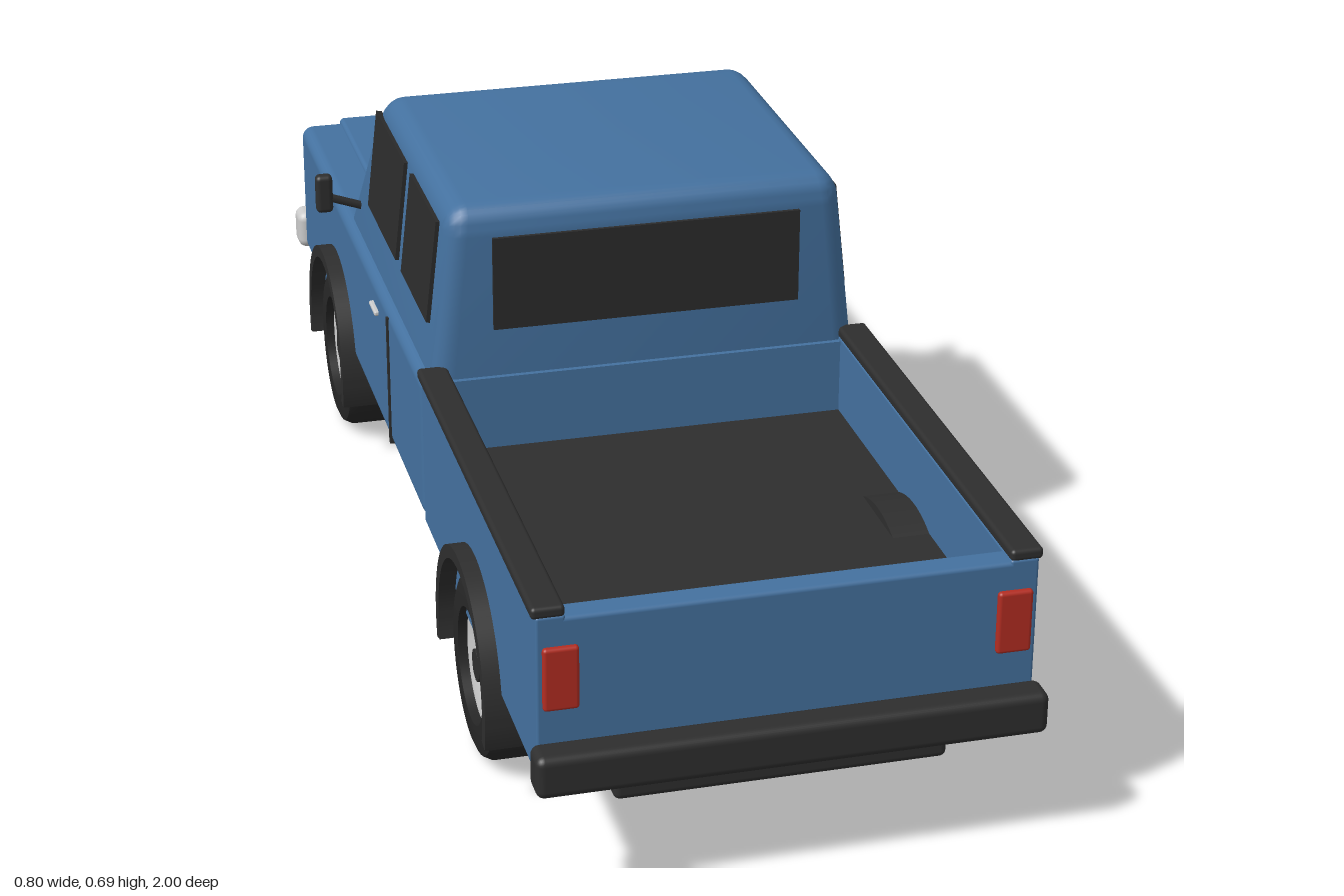
import * as THREE from 'three';
import { toCreasedNormals } from 'three/addons/utils/BufferGeometryUtils.js';
import { RoundedBoxGeometry } from 'three/addons/geometries/RoundedBoxGeometry.js';

const mat = (name, color) => {
  const m = new THREE.MeshStandardMaterial({ color });
  m.name = name;
  return m;
};

export function createModel() {
  const truck = new THREE.Group();
  truck.name = 'pickupTruck';
  const blue = mat('bluePaint', 0x44719f);
  const black = mat('blackTrim', 0x2e2e2e);
  const glass = mat('darkGlass', 0x2b2b2b);
  const rubber = mat('tyreRubber', 0x272727);
  const silver = mat('silverMetal', 0xcbcbcb);
  const red = mat('redLamp', 0xb32d22);

  const add = (name, geo, material, parent = truck) => {
    const m = new THREE.Mesh(geo, material);
    m.name = name;
    parent.add(m);
    return m;
  };
  // Box given by its extents on each axis; r rounds the edges
  const block = (name, material, [x0, x1], [y0, y1], [z0, z1], r = 0) => {
    const s = [x1 - x0, y1 - y0, z1 - z0];
    const m = add(name, r ? new RoundedBoxGeometry(...s, 3, r) : new THREE.BoxGeometry(...s), material);
    m.position.set((x0 + x1) / 2, (y0 + y1) / 2, (z0 + z1) / 2);
    return m;
  };
  // Same, on the given side of the truck
  const sideBlock = (name, material, s, [a, b], ys, zs, r) =>
    block(name, material, s > 0 ? [a, b] : [-b, -a], ys, zs, r);

  // Chassis and bumpers
  block('chassis', black, [-0.235, 0.235], [0.115, 0.2], [-0.85, 0.935], 0.01);
  block('rearBumper', black, [-0.355, 0.355], [0.172, 0.234], [0.95, 1], 0.012);
  block('frontBumper', silver, [-0.355, 0.355], [0.17, 0.238], [-1, -0.945], 0.016);

  // Lower cab and hood
  block('lowerBody', blue, [-0.345, 0.345], [0.178, 0.415], [-0.94, 0.19], 0.02);
  block('hoodPanel', blue, [-0.275, 0.275], [0.4, 0.422], [-0.94, -0.48], 0.008);

  // Upper cab: side profile across the width, narrowing toward the roof
  const profile = new THREE.Shape();
  profile.moveTo(-0.2, 0.38);
  profile.lineTo(0.52, 0.38);
  profile.lineTo(0.372, 0.63);
  profile.quadraticCurveTo(0.338, 0.685, 0.285, 0.685);
  profile.lineTo(-0.16, 0.685);
  profile.quadraticCurveTo(-0.2, 0.685, -0.2, 0.64);
  const bevel = 0.035;
  const cab = new THREE.ExtrudeGeometry(profile, {
    depth: 0.66 - 2 * bevel, bevelSize: bevel, bevelThickness: bevel,
    bevelOffset: -bevel, bevelSegments: 5, curveSegments: 8,
  });
  cab.translate(0, 0, -0.33 + bevel).rotateY(Math.PI / 2);
  const p = cab.attributes.position;
  for (let i = 0; i < p.count; i++) p.setX(i, p.getX(i) * (1 - 0.345 * (p.getY(i) - 0.42)));
  add('upperCab', toCreasedNormals(cab, 0.5), blue);

  // Front and rear glass
  const shield = add('windshield', new THREE.BoxGeometry(0.54, 0.245, 0.009), glass);
  shield.position.set(0, 0.541, -0.428);
  shield.rotation.x = 0.535;
  block('rearWindow', glass, [-0.236, 0.236], [0.492, 0.638], [0.197, 0.206]);

  // Cargo bed
  block('bedBase', blue, [-0.34, 0.34], [0.18, 0.295], [0.19, 0.95]);
  block('bedFloor', black, [-0.305, 0.305], [0.294, 0.3], [0.2, 0.915]);
  block('bedHeadboard', blue, [-0.31, 0.31], [0.2, 0.415], [0.188, 0.208]);
  block('tailgate', blue, [-0.343, 0.343], [0.18, 0.417], [0.915, 0.955], 0.006);

  // Grille with bars
  block('grille', black, [-0.187, 0.187], [0.255, 0.372], [-0.952, -0.93], 0.004);
  for (let i = 0; i < 4; i++) {
    const y = 0.277 + i * 0.024;
    block('grilleBar', silver, [-0.175, 0.175], [y - 0.003, y + 0.003], [-0.956, -0.95]);
  }

  // Wheel and arch shapes, shared by all four corners
  const R = 0.137;
  const tyre = toCreasedNormals(new THREE.LatheGeometry(
    [[0.086, -0.048], [0.118, -0.048], [0.13, -0.043], [R, -0.03], [R, 0.03],
      [0.13, 0.043], [0.118, 0.048], [0.086, 0.048], [0.086, -0.048]]
      .map(([r, y]) => new THREE.Vector2(r, y)), 40), 0.6).rotateZ(-Math.PI / 2);
  const rim = toCreasedNormals(new THREE.LatheGeometry(
    [[0.001, -0.035], [0.087, -0.035], [0.087, 0.034], [0.076, 0.034],
      [0.055, 0.026], [0.05, 0.018], [0.001, 0.018]]
      .map(([r, y]) => new THREE.Vector2(r, y)), 40), 0.4).rotateZ(-Math.PI / 2);
  const hub = new THREE.CylinderGeometry(0.024, 0.026, 0.03, 16).rotateZ(-Math.PI / 2);
  const axle = new THREE.CylinderGeometry(0.02, 0.02, 0.56, 12).rotateZ(Math.PI / 2);
  const arc = new THREE.Shape();
  const end = Math.PI + 0.26;
  arc.absarc(0, 0, 0.173, -0.26, end, false);
  arc.absarc(0, 0, 0.153, end, -0.26, true);
  const arch = toCreasedNormals(new THREE.ExtrudeGeometry(arc, {
    depth: 0.11, bevelEnabled: false, curveSegments: 32,
  }).translate(0, 0, -0.055).rotateY(Math.PI / 2), 0.5);

  for (const z of [0.568, -0.578]) {
    add('axle', axle, black).position.set(0, R, z);
    for (const s of [1, -1]) {
      const wheel = new THREE.Group();
      wheel.name = 'wheel';
      wheel.position.set(s * 0.307, R, z);
      if (s < 0) wheel.rotation.y = Math.PI;
      truck.add(wheel);
      add('tyre', tyre, rubber, wheel);
      add('rim', rim, silver, wheel);
      add('hubCap', hub, black, wheel).position.x = 0.025;
      add('wheelArch', arch, black).position.set(s * 0.31 - 0.005, 0.141, z);
    }
  }

  // Mirrored side details
  for (const s of [1, -1]) {
    sideBlock('bedSide', blue, s, [0.305, 0.345], [0.18, 0.42], [0.19, 0.955], 0.004);
    sideBlock('bedRail', black, s, [0.305, 0.351], [0.417, 0.434], [0.185, 0.955], 0.006);
    sideBlock('tailLight', red, s, [0.288, 0.337], [0.283, 0.376], [0.945, 0.963], 0.005);
    sideBlock('headlight', silver, s, [0.19, 0.3], [0.31, 0.366], [-0.953, -0.93], 0.005);
    sideBlock('doorSeam', black, s, [0.34, 0.348], [0.182, 0.4], [-0.09, -0.081]);
    sideBlock('doorHandle', silver, s, [0.34, 0.352], [0.366, 0.374], [-0.22, -0.17], 0.003);
    for (const [z0, z1] of [[-0.054, 0.15], [-0.34, -0.1]]) {
      const w = add('sideWindow', new THREE.BoxGeometry(0.009, 0.162, z1 - z0), glass);
      w.position.set(s * 0.3145, 0.57, (z0 + z1) / 2);
      w.rotation.z = s * 0.1136;
    }
    sideBlock('mirror', black, s, [0.372, 0.4], [0.45, 0.515], [-0.438, -0.416], 0.008);
    const arm = new THREE.LineCurve3(
      new THREE.Vector3(s * 0.315, 0.452, -0.427), new THREE.Vector3(s * 0.38, 0.475, -0.427));
    add('mirrorArm', new THREE.TubeGeometry(arm, 1, 0.007, 8), black);
  }
  return truck;
}
